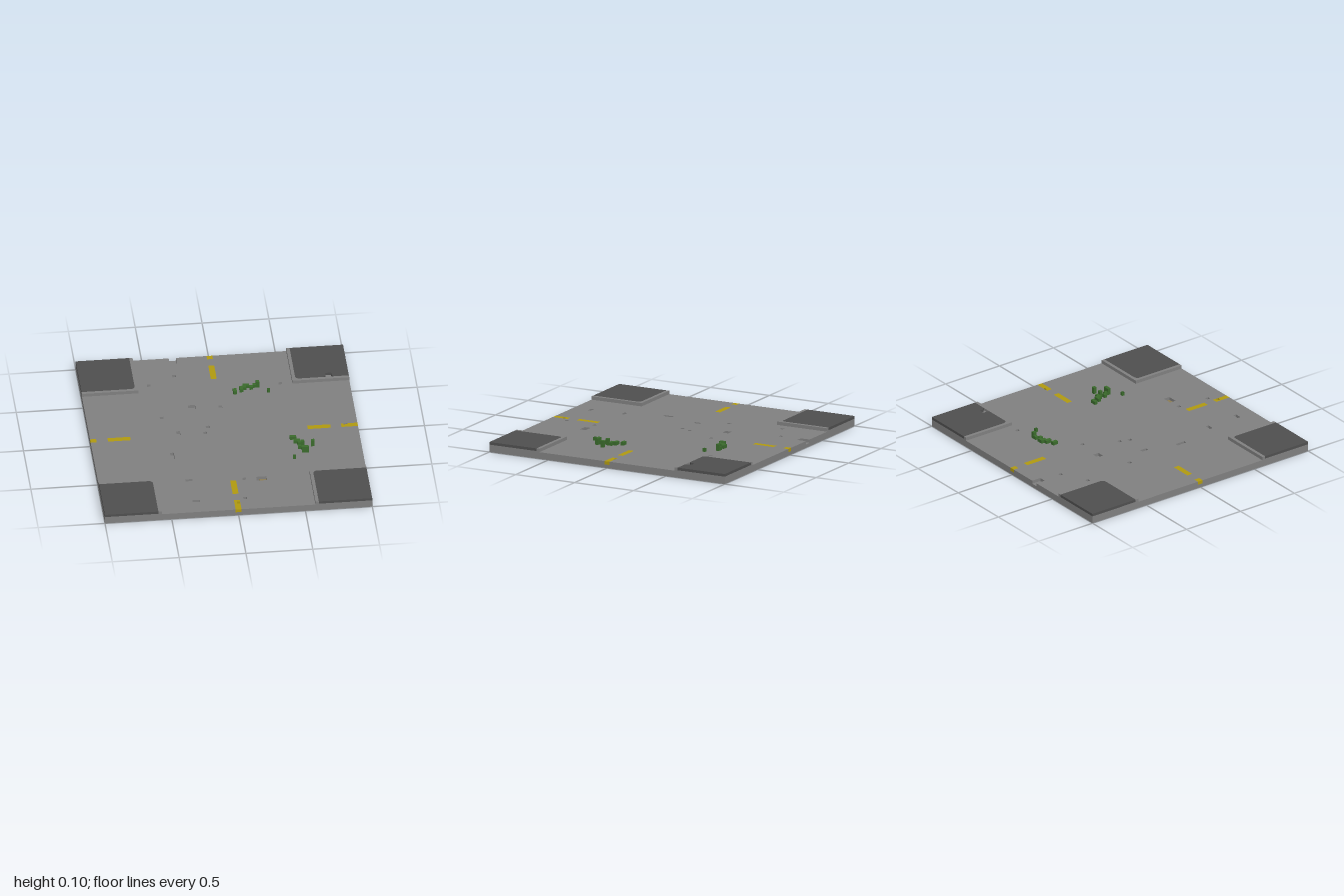
import * as THREE from 'three';

const mat = (name, color, side = THREE.FrontSide) => {
  const m = new THREE.MeshStandardMaterial({ color, side });
  m.name = name;
  return m;
};

// layer heights: base, road, pavement, each one block thick
const Y0 = 0.026, Y1 = 0.051, Y2 = 0.077, B = 0.0255;

const rect = ([x0, x1, z0, z1]) => [[x0, z0], [x1, z0], [x1, z1], [x0, z1]];
const small = (x, z, s = 0.027) => [x - s / 2, x + s / 2, z - s / 2, z + s / 2];

// flat slab with a plan outline in x, z and rectangular or free holes
function slab(name, outline, holes, bottom, top, material) {
  const v = (pts) => pts.map(([x, z]) => new THREE.Vector2(x, z));
  const shape = new THREE.Shape(v(outline));
  for (const h of holes) shape.holes.push(new THREE.Path(v(h)));
  const g = new THREE.ExtrudeGeometry(shape, { depth: top - bottom, bevelEnabled: false });
  g.rotateX(Math.PI / 2).translate(0, top, 0);
  const mesh = new THREE.Mesh(g, material);
  mesh.name = name;
  return mesh;
}

export function createModel() {
  const model = new THREE.Group();
  model.name = 'roadCrossing';
  const asphalt = mat('asphalt grey', 0x808080);
  const paving = mat('paving dark grey', 0x4f4f4f);
  const paint = mat('lane yellow', 0xb09a10);
  const dirt = mat('dirt brown', 0x8c7d55);
  const leaf = mat('weed green', 0x3a6b2c, THREE.DoubleSide);

  // base under the road, with one hole right through
  model.add(slab('base', rect([-1, 1, -1, 1]), [rect([0.175, 0.198, 0.595, 0.645])], 0, Y0, asphalt));

  // potholes in the road
  const pits = [
    [-0.23, -0.175, -0.38, -0.33], [-0.353, -0.325, -0.055, -0.003],
    [-0.428, -0.4, 0.217, 0.297], [-0.353, -0.3, 0.572, 0.597],
    [-0.33, -0.275, 0.845, 0.87], [0.175, 0.252, 0.595, 0.645],
    small(-0.29, -0.767), small(-0.49, -0.665), small(0.485, -0.59),
    small(0.01, -0.34), small(-0.44, -0.24), small(-0.113, -0.088),
    small(-0.14, -0.013), small(0.085, 0.61), small(0.064, 0.86),
  ];

  // lane dashes set into the road surface
  const W = 0.022;
  const dashes = [
    [-W, W, -0.875, -0.7], [-W, W, 0.623, 0.797],
    [-0.87, -0.7, -W, W], [0.625, 0.797, -W, W],
  ];

  // road outline, notched at the rim for the end dashes and one broken edge
  const road = [
    [-1, -1], [-0.305, -1], [-0.305, -0.925], [-0.25, -0.925], [-0.25, -1],
    [-W, -1], [-W, -0.957], [W, -0.957], [W, -1],
    [1, -1], [1, -W], [0.877, -W], [0.877, W], [1, W],
    [1, 1], [W, 1], [W, 0.877], [-W, 0.877], [-W, 1],
    [-1, 1], [-1, W], [-0.955, W], [-0.955, -W], [-1, -W],
  ];
  model.add(slab('road', road, [...pits, ...dashes].map(rect), Y0, Y1, asphalt));

  for (const d of dashes) model.add(slab('laneDash', rect(d), [], Y0, Y1, paint));
  model.add(slab('endDash', rect([-W, W, -1, -0.957]), [], Y0, Y1, paint));
  model.add(slab('endDash', rect([-1, -0.955, -W, W]), [], Y0, Y1, paint));
  model.add(slab('endDash', rect([-W, W, 0.877, 1]), [rect([-0.003, 0.02, 0.898, 0.925])], Y0, Y1, paint));
  model.add(slab('endDash', [[0.877, -W], [0.895, -W], [0.895, -0.01], [0.925, -0.01],
    [0.925, -W], [1, -W], [1, W], [0.877, W]], [], Y0, Y1, paint));
  model.add(slab('potholeDirt', rect([0.198, 0.252, 0.595, 0.645]), [], Y0, Y0 + 0.002, dirt));

  // four pavement corners: bed, rounded kerb and dark paving
  const arc = [];
  for (let i = 0; i <= 5; i++) {
    const a = (i / 5) * Math.PI / 2;
    arc.push([0.63 - 0.03 * Math.sin(a), 0.63 - 0.03 * Math.cos(a)]);
  }
  for (const sx of [-1, 1]) for (const sz of [-1, 1]) {
    const put = (pts) => pts.map(([x, z]) => [sx * x, sz * z]);
    const corner = new THREE.Group();
    corner.name = 'pavementCorner';
    const bed = 0.057;
    const broken = sx > 0 && sz < 0
      ? [[0.89, 0.6], [0.872, 0.618], [0.872, 0.65], [0.828, 0.65], [0.828, 0.618], [0.81, 0.6]] : [];
    corner.add(slab('pavementBed', put(rect([0.575, 1, 0.575, 1])), [], Y1, bed, asphalt));
    corner.add(slab('kerb', put([[0.575, 0.575], [1, 0.575], [1, 0.6], ...arc, [0.6, 1], [0.575, 1]]),
      [], bed, Y2, asphalt));
    corner.add(slab('paving', put([[1, 0.6], ...broken, ...arc, [0.6, 1], [1, 1]]), [], bed, Y2, paving));
    model.add(corner);
  }

  // weeds: x range, z range, blocks high
  const weeds = [
    [0.123, 0.15, -0.527, -0.484, 1], [0.173, 0.2, -0.553, -0.505, 1],
    [0.2, 0.225, -0.553, -0.53, 1], [0.2, 0.25, -0.578, -0.553, 1],
    [0.25, 0.275, -0.553, -0.53, 1], [0.275, 0.3, -0.578, -0.553, 1],
    [0.3, 0.325, -0.578, -0.553, 2],
    [0.477, 0.525, 0.122, 0.147, 1], [0.5, 0.55, 0.172, 0.197, 1],
    [0.525, 0.574, 0.197, 0.223, 1], [0.55, 0.574, 0.223, 0.247, 2],
    [0.525, 0.55, 0.248, 0.272, 1], [0.55, 0.574, 0.272, 0.297, 1],
    [0.55, 0.6, 0.297, 0.322, 2], [0.625, 0.65, 0.223, 0.247, 2],
  ];
  const clump = new THREE.Group();
  clump.name = 'weeds';
  for (const [x0, x1, z0, z1, n] of weeds) {
    clump.add(slab('weedBlock', rect([x0, x1, z0, z1]), [], Y1, Y1 + n * B, leaf));
  }
  // hollow stems, open at the top
  for (const [x, z] of [[0.387, -0.49], [0.485, 0.385]]) {
    const g = new THREE.BoxGeometry(0.022, B, 0.022);
    g.setIndex([...g.index.array].filter((_, i) => i < 12 || i >= 24));
    const stem = new THREE.Mesh(g, leaf);
    stem.name = 'hollowStem';
    stem.position.set(x, Y1 + B / 2, z);
    clump.add(stem);
  }
  model.add(clump);
  return model;
}
